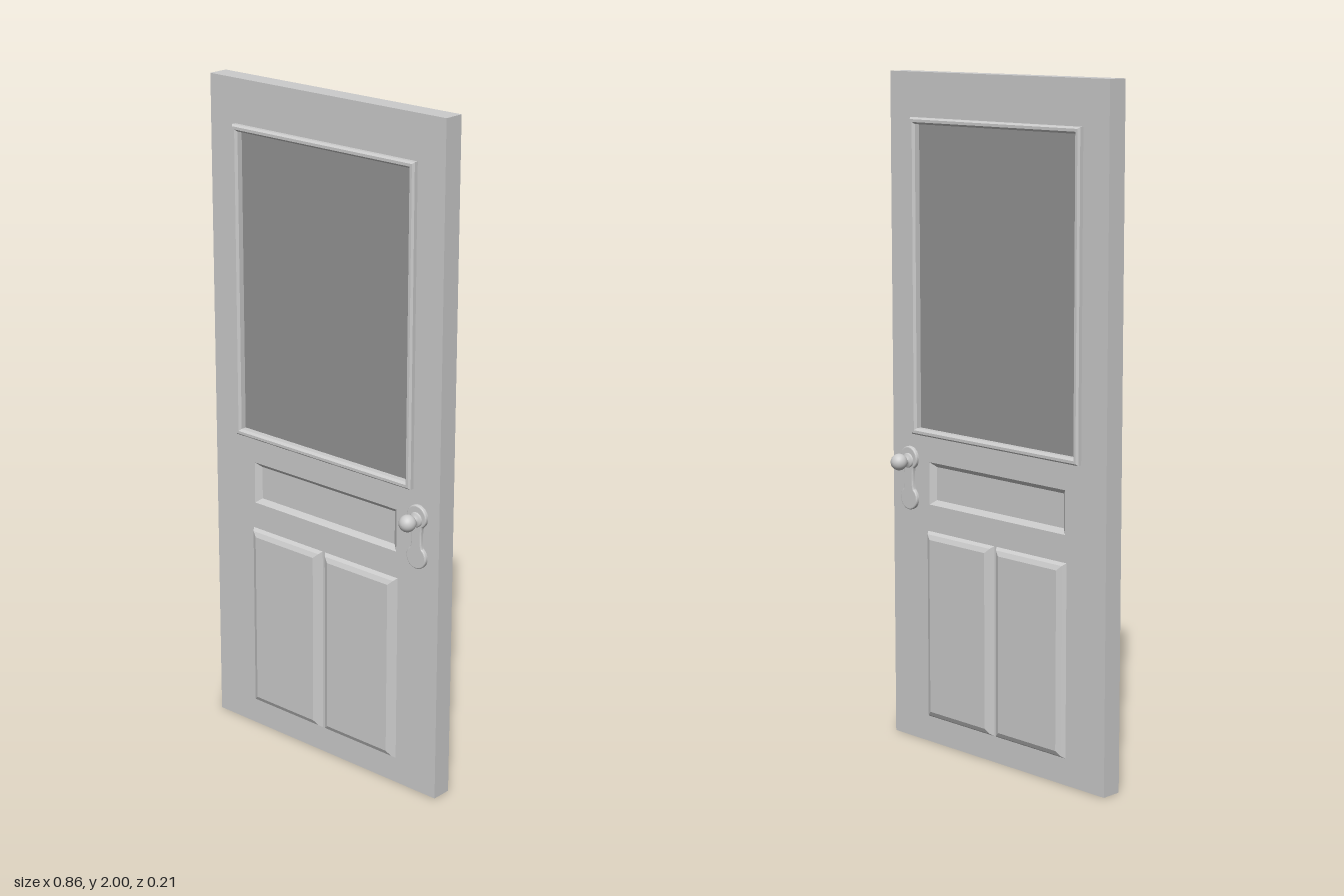
import * as THREE from 'three';

const grey = new THREE.MeshStandardMaterial({ color: 0xcccccc });
const glassMat = new THREE.MeshStandardMaterial({ color: 0x949494 });

const W = 0.43, H = 2, D = 0.031; // half width, height, half thickness
const WIN = { y: 1.405, w: 0.325, h: 0.455 }; // window opening, half sizes
const MID = { y: 0.797, w: 0.275, h: 0.064 }; // sunken panel, half sizes

function mesh(name, geometry, material = grey) {
  const m = new THREE.Mesh(geometry, material);
  m.name = name;
  return m;
}

// Rectangle centred on x = 0 at height y, given half sizes
function rect(PathType, w, h, y) {
  const p = new PathType();
  p.moveTo(-w, y - h).lineTo(w, y - h).lineTo(w, y + h).lineTo(-w, y + h).closePath();
  return p;
}

// Facets between nested rectangles [halfWidth, halfHeight, z], outermost first
function steppedRect(rings, fill) {
  const pos = [], index = [];
  for (const [w, h, z] of rings) pos.push(-w, -h, z, w, -h, z, w, h, z, -w, h, z);
  for (let r = 0; r < rings.length - 1; r++) {
    for (let i = 0; i < 4; i++) {
      const a = r * 4 + i, b = r * 4 + (i + 1) % 4;
      index.push(a, b, b + 4, a, b + 4, a + 4);
    }
  }
  if (fill) {
    const c = (rings.length - 1) * 4;
    index.push(c, c + 1, c + 2, c, c + 2, c + 3);
  }
  let g = new THREE.BufferGeometry();
  g.setAttribute('position', new THREE.Float32BufferAttribute(pos, 3));
  g.setIndex(index);
  g = g.toNonIndexed();
  g.computeVertexNormals();
  return g;
}

// Backplate outline: two round lobes joined by a narrow waist
function plateShape() {
  const s = new THREE.Shape();
  const r = 0.031, top = 0.061, a = 0.95;
  const c = r * Math.cos(a), d = r * Math.sin(a);
  s.absarc(0, top, r, -a, Math.PI + a, false);
  s.bezierCurveTo(-0.012, top - d - 0.008, -0.012, d - top + 0.008, -c, d - top);
  s.absarc(0, -top, r, Math.PI - a, Math.PI * 2 + a, false);
  s.bezierCurveTo(0.012, d - top + 0.008, 0.012, top - d - 0.008, c, top - d);
  return s;
}

function makeHandle() {
  const g = new THREE.Group();
  g.name = 'handle';
  const plate = mesh('backplate', new THREE.ExtrudeGeometry(plateShape(), {
    depth: 0.008, bevelThickness: 0.004, bevelSize: 0.004, bevelSegments: 3, curveSegments: 24,
  }));
  plate.position.set(0, 0.803, D - 0.001);
  // Rose, neck and ball turned as one profile
  const profile = [[0.022, 0.038], [0.022, 0.045], [0.019, 0.048], [0.012, 0.049], [0.01, 0.053], [0.01, 0.057]];
  for (let i = 0; i <= 14; i++) {
    const t = 2.73 * (1 - i / 14);
    profile.push([0.025 * Math.sin(t), 0.079 + 0.025 * Math.cos(t)]);
  }
  const knob = mesh('knob', new THREE.LatheGeometry(profile.map(([r, z]) => new THREE.Vector2(r, z)), 32));
  knob.rotation.x = Math.PI / 2;
  knob.position.y = 0.857;
  g.add(plate, knob);
  return g;
}

// Mouldings and hardware of one face; side = 1 front, -1 back
function makeFace(side) {
  const face = new THREE.Group();
  face.name = side > 0 ? 'frontFace' : 'backFace';

  // Moulding around the glass
  const frame = mesh('windowMoulding', steppedRect([
    [0.335, 0.465, D - 0.002], [0.335, 0.465, 0.043], [0.33, 0.46, 0.049],
    [0.322, 0.452, 0.049], [0.316, 0.446, 0.042], [0.316, 0.446, 0.02],
  ], false));
  frame.position.y = WIN.y;

  // Sunken horizontal panel
  const sunken = mesh('middlePanel', steppedRect([
    [MID.w, MID.h, D], [MID.w - 0.018, MID.h - 0.014, D - 0.014],
  ], true));
  sunken.position.y = MID.y;
  face.add(frame, sunken);

  // Pair of raised lower panels
  for (const s of [-1, 1]) {
    const panel = mesh('lowerPanel', steppedRect([
      [0.139, 0.287, D - 0.001], [0.13, 0.279, 0.042], [0.115, 0.265, 0.049],
    ], true));
    panel.position.set(s * 0.143, 0.366, 0);
    face.add(panel);
  }

  const handle = makeHandle();
  handle.position.x = side * 0.355;
  face.add(handle);
  if (side < 0) face.rotation.y = Math.PI;
  return face;
}

export function createModel() {
  const door = new THREE.Group();
  door.name = 'door';

  // Slab with openings for the window and the sunken panel
  const shape = rect(THREE.Shape, W, H / 2, H / 2);
  shape.holes.push(rect(THREE.Path, WIN.w, WIN.h, WIN.y), rect(THREE.Path, MID.w, MID.h, MID.y));
  const slab = mesh('slab', new THREE.ExtrudeGeometry(shape, { depth: D * 2, bevelEnabled: false }));
  slab.position.z = -D;

  const glass = mesh('glass', new THREE.BoxGeometry(WIN.w * 2, WIN.h * 2, 0.05), glassMat);
  glass.position.y = WIN.y;

  door.add(slab, glass, makeFace(1), makeFace(-1));
  return door;
}
